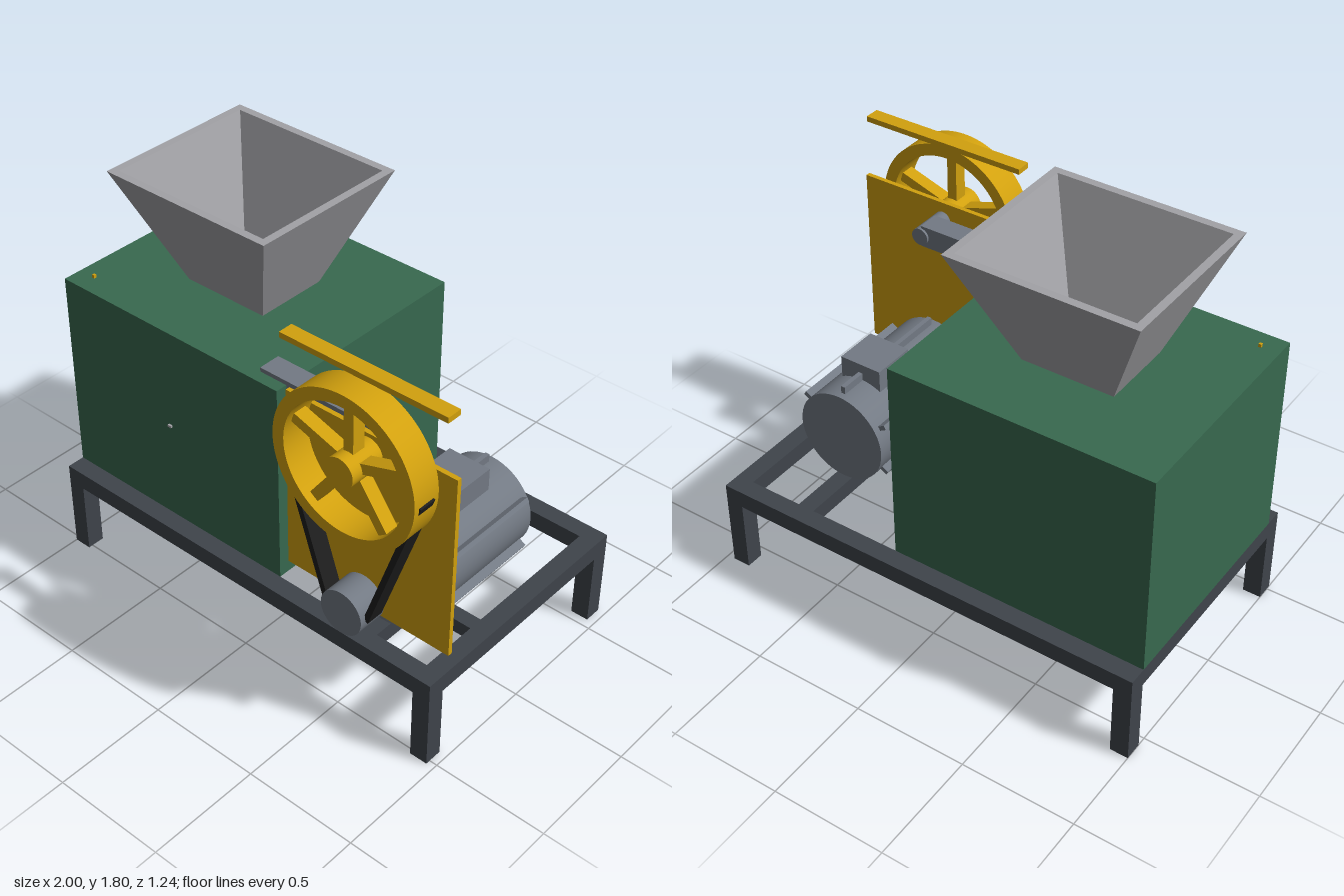
import * as THREE from 'three';
import { toCreasedNormals } from 'three/addons/utils/BufferGeometryUtils.js';

const mat = (name, color) => new THREE.MeshStandardMaterial({ name, color });

export function createModel() {
  const green = mat('green paint', 0x38694f);
  const yellow = mat('yellow paint', 0xd2a10e);
  const frameGrey = mat('dark frame grey', 0x3f444b);
  const motorGrey = mat('motor grey', 0x737a84);
  const steel = mat('hopper steel', 0xa2a2a6);
  const black = mat('belt black', 0x1e1e1e);

  const model = new THREE.Group();
  model.name = 'beltDrivenMill';

  const add = (name, geometry, material, parent = model) => {
    const mesh = new THREE.Mesh(geometry, material);
    mesh.name = name;
    parent.add(mesh);
    return mesh;
  };
  // Box given by its lower and upper limits on each axis
  const box = (name, material, [x0, x1], [y0, y1], [z0, z1]) => {
    const mesh = add(name, new THREE.BoxGeometry(x1 - x0, y1 - y0, z1 - z0), material);
    mesh.position.set((x0 + x1) / 2, (y0 + y1) / 2, (z0 + z1) / 2);
    return mesh;
  };
  // Cylinder lying along z
  const rod = (name, material, x, y, r, z0, z1) => {
    const geometry = new THREE.CylinderGeometry(r, r, z1 - z0, 48).rotateX(Math.PI / 2);
    const mesh = add(name, geometry, material);
    mesh.position.set(x, y, (z0 + z1) / 2);
    return mesh;
  };

  // Base frame: legs, rails and cross beams
  const railY = [0.33, 0.41];
  const sidesX = [[-1, -0.92], [0.885, 0.965]];
  const sidesZ = [[-0.62, -0.54], [0.44, 0.52]];
  for (const x of sidesX) {
    for (const z of sidesZ) box('leg', frameGrey, x, [0, 0.33], z);
    box('endRail', frameGrey, x, railY, [-0.54, 0.44]);
  }
  for (const z of sidesZ) box('longRail', frameGrey, [-1, 0.965], railY, z);
  for (const x of [-0.43, 0.603]) {
    box('crossBeam', frameGrey, [x - 0.038, x + 0.038], [0.335, 0.409], [-0.54, 0.44]);
  }
  box('motorSupportBar', frameGrey, [0.28, 0.9], [0.345, 0.408], [0.11, 0.175]);

  // Housing with its two small fittings
  box('housing', green, [-1, 0.145], [0.41, 1.312], [-0.54, 0.44]);
  box('frontFitting', steel, [-0.443, -0.425], [0.86, 0.87], [0.44, 0.449]);
  box('topFitting', yellow, [-0.925, -0.913], [1.312, 1.326], [0.35, 0.362]);

  // Hopper: rectangular loops from outer foot over the rim to inner foot
  const loops = [
    [0.2, 0.163, 1.312], [0.408, 0.366, 1.805],
    [0.374, 0.332, 1.805], [0.172, 0.13, 1.313],
  ].map(([hx, hz, y]) => [[-hx, y, hz], [hx, y, hz], [hx, y, -hz], [-hx, y, -hz]]);
  const corners = [];
  for (let i = 0; i < loops.length - 1; i++) {
    for (let j = 0; j < 4; j++) {
      const k = (j + 1) % 4;
      const [a, b, c, d] = [loops[i][j], loops[i][k], loops[i + 1][k], loops[i + 1][j]];
      corners.push(...a, ...b, ...c, ...a, ...c, ...d);
    }
  }
  const hopperGeometry = new THREE.BufferGeometry();
  hopperGeometry.setAttribute('position', new THREE.Float32BufferAttribute(corners, 3));
  hopperGeometry.computeVertexNormals();
  add('hopper', hopperGeometry, steel).position.set(-0.43, 0, -0.05);

  // Motor with radial cooling ribs, terminal box, shaft and pulley
  const axisX = 0.603, motorY = 0.615, wheelY = 1.282;
  rod('motorBody', motorGrey, axisX, motorY, 0.205, -0.29, 0.36);
  for (let i = 0; i < 6; i++) {
    const angle = Math.PI / 6 + i * Math.PI / 3;
    const rib = add('motorRib', new THREE.BoxGeometry(0.06, 0.02, 0.59), motorGrey);
    rib.position.set(axisX + 0.208 * Math.cos(angle), motorY + 0.208 * Math.sin(angle), 0.035);
    rib.rotation.z = angle;
  }
  box('terminalBox', motorGrey, [0.505, 0.7], [0.795, 0.895], [-0.145, 0.05]);
  rod('motorShaft', motorGrey, axisX, motorY, 0.039, 0.36, 0.48);
  rod('motorPulley', motorGrey, axisX, motorY, 0.098, 0.475, 0.605);

  // Drive shaft and its bearing arm
  rod('driveShaft', motorGrey, axisX, wheelY, 0.038, 0.28, 0.5);
  box('bearingArm', motorGrey, [0.015, axisX], [1.235, 1.33], [0.29, 0.388]);

  // Guard plate and top guard strip
  box('guardPlate', yellow, [0.21, 0.997], [0.545, 1.363], [0.441, 0.461]);
  box('guardStrip', yellow, [0.226, 0.98], [1.622, 1.646], [0.443, 0.508]);

  // Flywheel
  const wheel = new THREE.Group();
  wheel.name = 'flywheel';
  wheel.position.set(axisX, wheelY, 0.54);
  model.add(wheel);
  const ring = new THREE.Shape().absarc(0, 0, 0.326, 0, Math.PI * 2, false);
  ring.holes.push(new THREE.Path().absarc(0, 0, 0.274, 0, Math.PI * 2, true));
  const rim = new THREE.ExtrudeGeometry(ring, { depth: 0.13, bevelEnabled: false, curveSegments: 64 });
  add('rim', toCreasedNormals(rim.translate(0, 0, -0.065), 0.5), yellow, wheel);
  add('hub', new THREE.CylinderGeometry(0.065, 0.065, 0.162, 40).rotateX(Math.PI / 2), yellow, wheel);
  for (let i = 0; i < 5; i++) {
    const angle = Math.PI / 2 + i * Math.PI * 2 / 5;
    const spoke = add('spoke', new THREE.BoxGeometry(0.25, 0.044, 0.06), yellow, wheel);
    spoke.position.set(0.165 * Math.cos(angle), 0.165 * Math.sin(angle), 0);
    spoke.rotation.z = angle;
  }

  // Belt strands between the two wheels
  for (const side of [-1, 1]) {
    const top = new THREE.Vector2(axisX + side * 0.322, 1.278);
    const bottom = new THREE.Vector2(axisX + side * 0.098, 0.615);
    const run = top.clone().sub(bottom);
    const strand = add('beltStrand', new THREE.BoxGeometry(0.025, run.length(), 0.078), black);
    strand.position.set((top.x + bottom.x) / 2, (top.y + bottom.y) / 2, 0.541);
    strand.rotation.z = run.angle() - Math.PI / 2;
  }
  return model;
}
